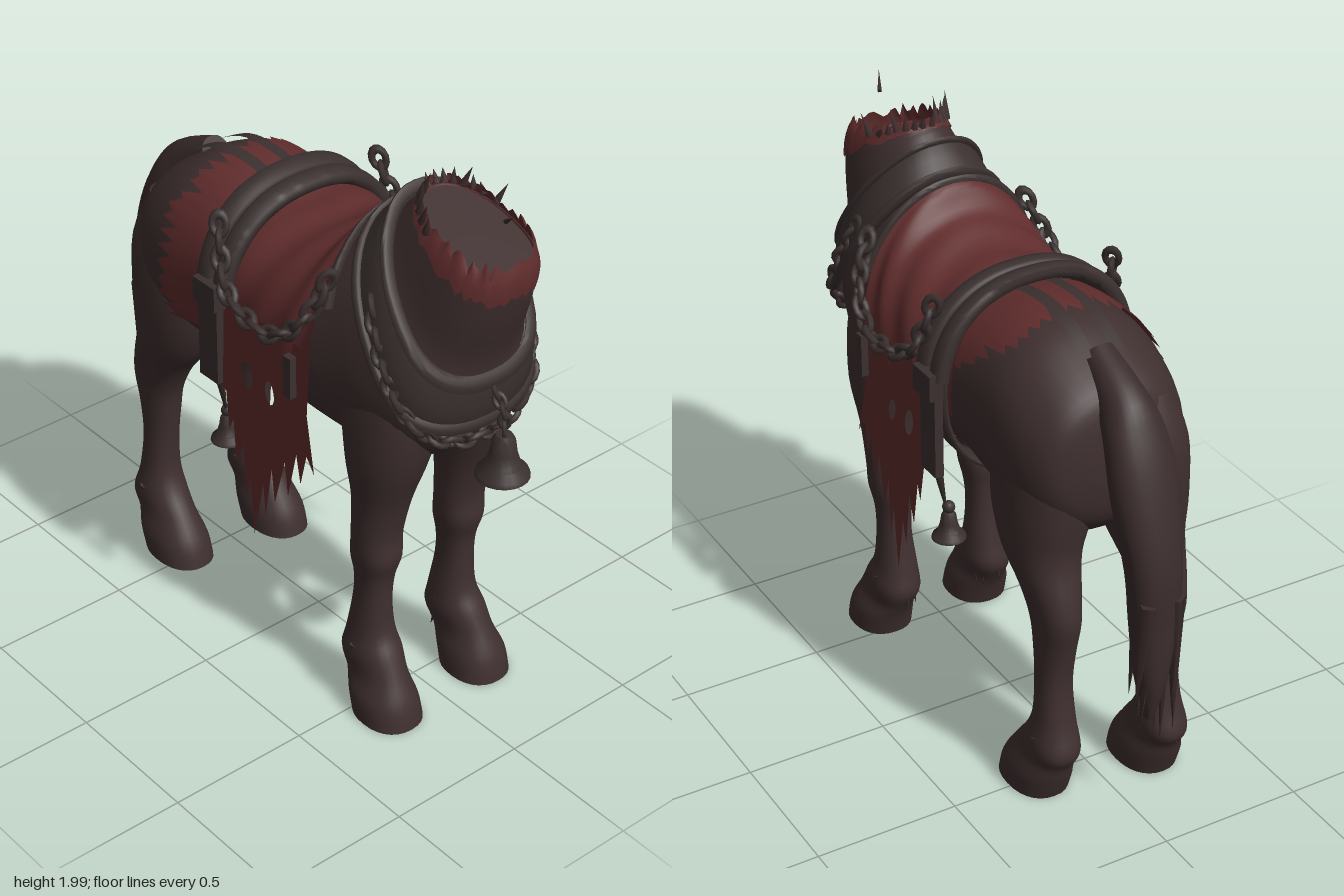
import * as THREE from 'three';
import { toCreasedNormals } from 'three/addons/utils/BufferGeometryUtils.js';

const D = THREE.DoubleSide, PI = Math.PI;
const rnd = (i) => { const s = Math.sin(i * 127.1 + 3.7) * 43758.5453; return s - Math.floor(s); };

// Cross-sections: [z, y of front/low end, z, y of back/high end, half width, x centre, narrowing of the high end]
const BODY = [
  [-.70, 1.20, -.69, 1.42, .12], [-.665, 1.06, -.66, 1.50, .23], [-.57, .97, -.57, 1.57, .285],
  [-.43, .95, -.43, 1.64, .305], [-.28, .98, -.28, 1.65, .30], [-.10, 1.02, -.10, 1.62, .30],
  [.08, .99, .08, 1.61, .31], [.26, .97, .25, 1.65, .31], [.45, .96, .35, 1.73, .29, 0, .06],
  [.62, 1.0, .39, 1.77, .28, 0, .14], [.75, 1.11, .43, 1.80, .26, 0, .2], [.80, 1.25, .46, 1.84, .235, 0, .22],
  [.82, 1.42, .49, 1.87, .20, 0, .2], [.88, 1.60, .51, 1.89, .175, 0, .2], [.915, 1.74, .53, 1.91, .155, 0, .2],
  [.92, 1.83, .51, 1.95, .145, 0, .2]];
const FRONT_LEG = [
  [.715, 0, .47, 0, .105, .195], [.695, .08, .445, .08, .10, .195], [.65, .165, .42, .13, .08, .19],
  [.61, .24, .385, .20, .083, .184], [.57, .31, .40, .28, .07, .18], [.56, .42, .425, .42, .058, .18],
  [.565, .52, .43, .52, .062, .178], [.59, .61, .42, .60, .078, .178], [.585, .70, .43, .70, .085, .178],
  [.62, .85, .43, .85, .095, .175], [.68, 1.02, .40, 1.0, .12, .17], [.71, 1.2, .36, 1.2, .13, .15],
  [.66, 1.42, .40, 1.42, .09, .15]];
const HIND_LEG = [
  [-.345, 0, -.62, 0, .10, .19], [-.37, .08, -.65, .08, .098, .19], [-.43, .17, -.67, .14, .08, .188],
  [-.49, .25, -.70, .20, .08, .184], [-.52, .33, -.67, .30, .066, .18], [-.52, .45, -.65, .45, .058, .178],
  [-.505, .58, -.665, .58, .062, .175], [-.485, .68, -.69, .70, .07, .175], [-.43, .79, -.675, .79, .085, .175],
  [-.33, .92, -.64, .92, .115, .17], [-.27, 1.08, -.66, 1.08, .14, .155], [-.28, 1.28, -.66, 1.28, .13, .15],
  [-.36, 1.45, -.60, 1.45, .08, .14]];
const TAIL = [
  [-.88, .44, -.92, .44, .012, .02], [-.84, .60, -.955, .60, .05, .015], [-.81, .80, -.96, .80, .075, .005],
  [-.79, .97, -.955, 1.0, .09, 0], [-.73, 1.2, -.89, 1.25, .11, 0], [-.67, 1.38, -.82, 1.42, .10, 0],
  [-.58, 1.45, -.74, 1.53, .075, 0], [-.48, 1.5, -.56, 1.62, .055, 0]];

// Smooth interpolation between cross-sections
function ringAt(rings, t) {
  const n = rings.length - 1, i = Math.min(n - 1, Math.max(0, Math.floor(t))), f = t - i;
  const g = (k) => rings[Math.min(n, Math.max(0, k))];
  return [0, 1, 2, 3, 4, 5, 6].map((c) => {
    const [p, q, r, s] = [g(i - 1), g(i), g(i + 1), g(i + 2)].map((e) => e[c] || 0);
    return q + .5 * f * (r - p + f * (2 * p - 5 * q + 4 * r - s + f * (3 * (q - r) + s - p)));
  });
}
// Point on a lofted surface: a = 0 is the back/top, growing toward +x
function surf(rings, t, a, off = 0) {
  const [zA, yA, zB, yB, rx, cx, narrow] = ringAt(rings, t);
  const len = Math.hypot(zB - zA, yB - yA) / 2 || 1e-4, k = (len + off) / len / 2;
  const p = (v) => Math.sign(v) * Math.abs(v) ** .88;
  const c = p(Math.cos(a)) * k;
  const x = (rx * (1 - narrow * Math.cos(a)) + off) * p(Math.sin(a));
  return [cx + x, (yA + yB) / 2 + (yB - yA) * c, (zA + zB) / 2 + (zB - zA) * c];
}
function grid(fn, nu, nv) {
  const pos = [], idx = [];
  for (let i = 0; i <= nu; i++) for (let j = 0; j <= nv; j++) pos.push(...fn(i / nu, j / nv, i, j));
  for (let i = 0; i < nu; i++) for (let j = 0; j < nv; j++) {
    const a = i * (nv + 1) + j, b = a + nv + 1;
    idx.push(a, b, a + 1, b, b + 1, a + 1);
  }
  const g = new THREE.BufferGeometry();
  g.setAttribute('position', new THREE.Float32BufferAttribute(pos, 3));
  g.setIndex(idx);
  return toCreasedNormals(g, .9);
}
function loft(rings, { side = 1, dz = 0, tEnd = rings.length - 1, steps = 4, seg = 28 } = {}) {
  const n = Math.round(tEnd * steps);
  return grid((u, v, i) => {
    const t = Math.min(tEnd, Math.max(0, (i - 1) / steps)), a = v * 2 * PI;
    let p = surf(rings, t, a);
    if (i === 0 || i === n + 2) {
      const q = surf(rings, t, a + PI);
      p = p.map((c, k) => (c + q[k]) / 2);
    }
    const cx = ringAt(rings, t)[5];
    return [p[0] + (side - 1) * cx, p[1], p[2] + dz];
  }, n + 2, seg);
}
// Padded band round the body; station and half width are given as [top, bottom]
const belt = ([t0, t1], [w0, w1], off, h, a0, a1) => grid((u, v) => {
  const a = a0 + (a1 - a0) * u, m = (1 - Math.cos(a)) / 2, f = v * 2 * PI;
  const s = (x) => Math.sign(x) * Math.abs(x) ** .6;
  return surf(BODY, t0 + (t1 - t0) * m + (w0 + (w1 - w0) * m) * s(Math.cos(f)), a, off + h * s(Math.sin(f)));
}, 48, 12);

export function createModel() {
  const root = new THREE.Group();
  root.name = 'headlessHorse';
  const mat = (name, color, side = THREE.FrontSide) => {
    const m = new THREE.MeshStandardMaterial({ color, side });
    m.name = name;
    return m;
  };
  const hide = mat('darkHide', 0x3f2f2f), hair = mat('darkHair', 0x3b2c2c);
  const tack = mat('wornTack', 0x3a302f, D), red = mat('tornRed', 0x612d2d, D);
  const add = (name, geo, m, pos) => {
    const mesh = new THREE.Mesh(geo, m);
    mesh.name = name;
    if (pos) mesh.position.set(...pos);
    root.add(mesh);
    return mesh;
  };
  const spike = (name, from, to, r, m) => {
    const a = new THREE.Vector3(...from), d = new THREE.Vector3(...to).sub(a);
    const mesh = add(name, new THREE.ConeGeometry(r, d.length(), 5), m);
    mesh.position.copy(a).addScaledVector(d, .5);
    mesh.quaternion.setFromUnitVectors(new THREE.Vector3(0, 1, 0), d.normalize());
  };
  const chain = (name, pts, size) => {
    const curve = new THREE.CatmullRomCurve3(pts.map((p) => new THREE.Vector3(...p)));
    const n = Math.round(curve.getLength() / (size * 1.25));
    const geo = new THREE.TorusGeometry(size * .52, size * .27, 6, 12).scale(1, 1.45, 1);
    for (let i = 0; i <= n; i++) {
      const link = add(name, geo, tack);
      link.position.copy(curve.getPointAt(i / n));
      link.quaternion.setFromUnitVectors(new THREE.Vector3(0, 1, 0), curve.getTangentAt(i / n));
      link.rotateY(i % 2 ? PI / 4 : -PI / 4);
    }
  };
  const bell = (name, x, y, z, s) => add(name, toCreasedNormals(new THREE.LatheGeometry(
    [[.001, 1], [.3, .97], [.42, .85], [.5, .55], [.66, .25], [.95, .1], [1, 0], [.85, 0], [.5, .5], [.001, .8]]
      .map(([r, h]) => new THREE.Vector2(r * s, h * s * 1.75)).reverse(), 20), .7), tack, [x, y, z]);

  // Body, legs and tail
  add('body', loft(BODY, { tEnd: 14, seg: 40 }), hide);
  for (const side of [1, -1]) {
    const dz = side < 0 ? -.07 : 0;
    add('frontLeg', loft(FRONT_LEG, { side }), hide);
    add('hindLeg', loft(HIND_LEG, { side, dz }), hide);
    for (let i = 0; i < 7; i++) {
      const x = side * .185 + (i - 3) * .02, w = .02 * Math.abs(i - 3);
      spike('frontFetlockHair', [x, .25, .43 + w], [x, .11 + .05 * rnd(i), .385 + w], .024, hair);
      spike('hindFetlockHair', [x, .25, -.655 + w + dz], [x, .12 + .05 * rnd(i + 9), -.70 + w + dz], .024, hair);
    }
  }
  add('tail', loft(TAIL), hair);
  for (let i = 0; i < 16; i++) {
    const x = (rnd(i) - .5) * .16, z = -.83 - .11 * rnd(i + 20);
    spike('tailStrand', [x * .7, .9, z], [x + .01, .34 + .2 * rnd(i + 40), z + .01], .032, hair);
  }

  // Torn neck stump: sunken floor, inner wall, ragged red rim, loose hair
  add('stumpFloor', grid((u, v) => {
    const p = surf(BODY, 13.3, v * 2 * PI, -.03), q = surf(BODY, 13.3, v * 2 * PI + PI, -.03);
    return p.map((c, k) => (c + q[k]) / 2 + (c - q[k]) / 2 * (1 - u));
  }, 3, 32), tack);
  add('stumpInnerWall', grid((u, v) => surf(BODY, 13.3 + u * .8, v * 2 * PI, -.03 + .022 * u), 3, 40), red);
  add('stumpRim', grid((u, v, i, j) => {
    const k = j % 72, low = 13.75 - .3 * rnd(k), high = 14.3 + .65 * rnd(k + 100);
    return surf(BODY, low + (high - low) * u, v * 2 * PI, .006 - .02 * u * u);
  }, 4, 72), red);
  for (let i = 0; i < 14; i++) {
    const a = (i / 13 - .5) * 2.6, p = surf(BODY, 14.1, a), r = rnd(i + 60);
    spike('maneShred', p, [p[0] * (1.05 + .1 * r), p[1] + .03 + .055 * r, p[2] + (r - .4) * .08], .014, hair);
  }
  spike('looseShred', [.01, 1.92, .84], [-.02, 1.97, .90], .008, hair);

  // Blanket over the back and its tattered rear edge
  add('blanket', grid((u, v) => {
    const a = (v * 2 - 1) * 1.72, len = 3.6 - .6 * (a / 1.72) ** 2;
    return surf(BODY, 4.6 + len * u, a, .02 + .02 * u ** 3 + .006 * Math.sin(u * 22 + Math.abs(a) * 3));
  }, 28, 40), red);
  add('blanketRear', grid((u, v, i, j) => {
    const a = -2.1 + v * 3.35, lim = a > .75 ? 3.2 + (a - .75) * 2.4 : a < -.8 ? 2.85 : 3.15;
    const end = Math.min(4.5, lim + (j % 2 ? .45 : 0) * (.4 + rnd(j)));
    return surf(BODY, 4.7 + (end - 4.7) * u, a, .012);
  }, 8, 46), red);

  // Hanging side panels with ragged hems and holes
  const hem = [[.36, 1.36], [.355, 1.13], [.40, .93], [.36, .98], [.335, .86], [.31, .96], [.275, .78], [.255, .9],
    [.21, .72], [.19, .84], [.165, .64], [.15, .76], [.11, .54], [.085, .74], [.06, .66], [.045, .86], [.01, .77],
    [-.01, .93], [-.03, .88], [-.05, 1.02], [-.12, 1.04], [-.13, 1.36]];
  const shape = new THREE.Shape(hem.map(([z, y]) => new THREE.Vector2(z, y)));
  for (const [z, y, r] of [[.17, 1.12, .022], [.055, 1.13, .026]]) {
    shape.holes.push(new THREE.Path().absellipse(z, y, r, r * 1.9, 0, 2 * PI, false, .2));
  }
  const panel = new THREE.ShapeGeometry(shape, 6);
  for (const side of [1, -1]) {
    const g = panel.clone(), p = g.attributes.position;
    for (let i = 0; i < p.count; i++) {
      const z = p.getX(i), y = p.getY(i);
      p.setXYZ(i, side * (.335 + .03 * (1.36 - y) / .8), y, z);
    }
    g.computeVertexNormals();
    add('blanketSidePanel', g, red);
  }

  // Harness: padded surcingle rolls, girth, neck collar, wither strap, crupper
  for (const t of [4.75, 5.2]) add('surcingleRoll', belt([t, t], [.2, .2], .045, .025, -1.42, 1.42), tack);
  add('girth', belt([4.95, 4.95], [.28, .28], .025, .012, 0, 2 * PI), tack);
  add('collar', belt([10.3, 11.4], [1.3, .42], .014, .02, 0, 2 * PI), tack);
  add('collarEdge', belt([11.5, 11.85], [.22, .1], .026, .02, 0, 2 * PI), tack);
  add('collarEdge', belt([9.1, 10.95], [.22, .1], .026, .02, 0, 2 * PI), tack);
  add('witherStrap', belt([8.3, 8], [.16, .16], .035, .015, -1.2, 1.2), tack);
  for (const a of [-.13, .13]) {
    add('crupperStrap', grid((u, v) => surf(BODY, 2 + 2.7 * u, a + (v - .5) * .12, .022), 12, 2), tack);
  }

  // Chains, side straps, buckles and bells
  const ring = [];
  for (let i = 0; i <= 16; i++) ring.push(surf(BODY, 10.5, PI * (.42 + 1.16 * i / 16), .03));
  chain('breastChain', ring, .04);
  chain('bellChain', [[0, 1.33, .84], [0, 1.27, .88], [0, 1.21, .885]], .03);
  bell('chestBell', 0, 1.045, .885, .088);
  for (const s of [1, -1]) {
    chain('sideChain', [[.30, 1.63, .40], [.36, 1.48, .35], [.385, 1.39, .24], [.385, 1.385, .12],
      [.375, 1.43, .0], [.35, 1.52, -.06], [.33, 1.62, -.09]].map(([x, y, z]) => [s * x, y, z]), .044);
    add('sideStrap', new THREE.BoxGeometry(.03, .36, .095), tack, [s * .352, 1.22, -.115]);
    add('buckle', new THREE.BoxGeometry(.05, .09, .11), tack, [s * .36, 1.37, -.11]);
    add('chainTassel', new THREE.BoxGeometry(.025, .15, .035), tack, [s * .375, 1.27, .31]);
    spike('bellCord', [s * .34, 1.1, -.11], [s * .295, .84, -.11], .022, tack);
    bell('sideBell', s * .295, .77, -.115, .058);
    add('bellKnob', new THREE.SphereGeometry(.022, 10, 8), tack, [s * .295, .885, -.115]);
  }
  return root;
}
